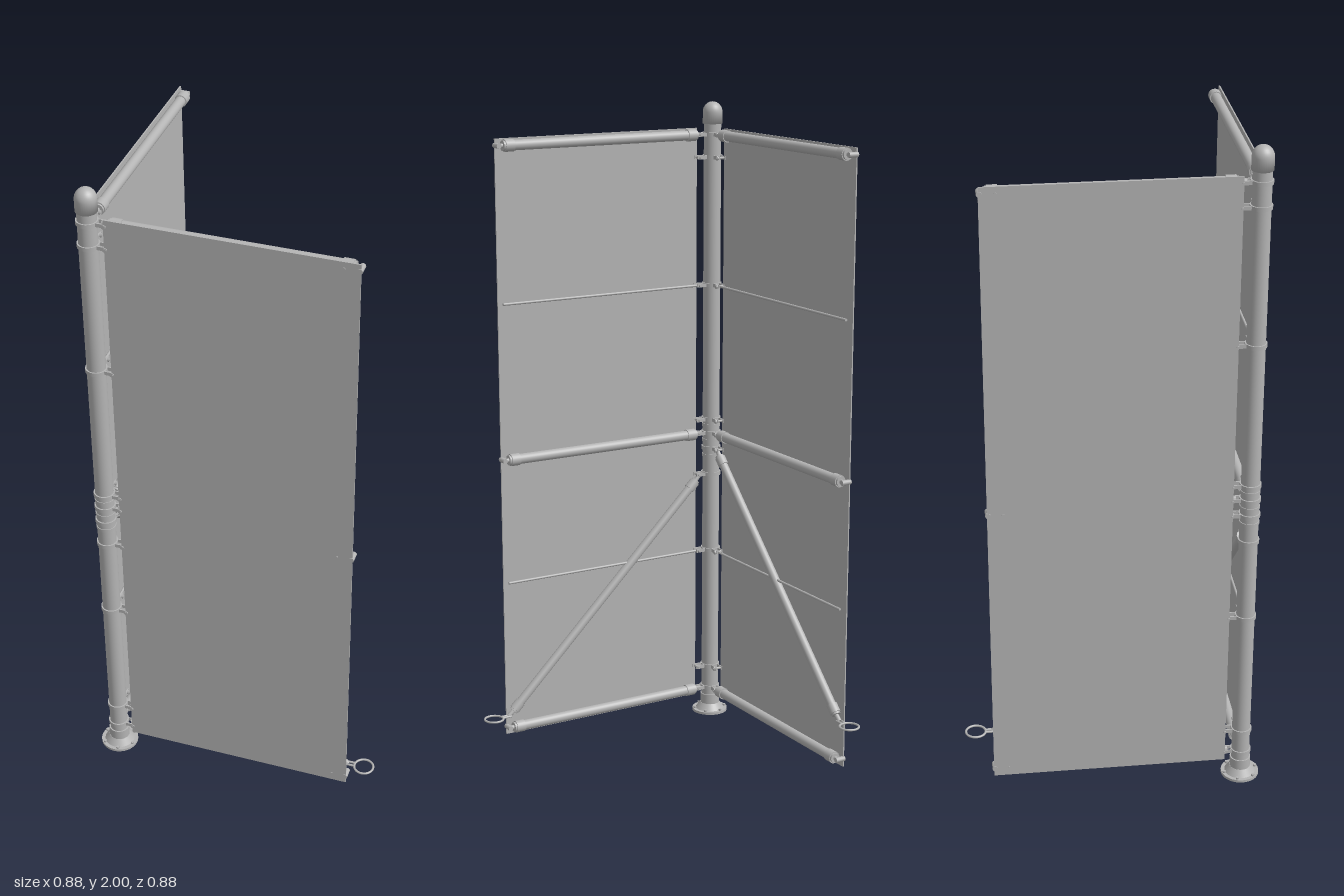
import * as THREE from 'three';

const steel = new THREE.MeshStandardMaterial({ color: 0xb4b4b4 });
steel.name = 'galvanised steel';

function add(parent, name, geometry, x = 0, y = 0, z = 0) {
  const mesh = new THREE.Mesh(geometry, steel);
  mesh.name = name;
  mesh.position.set(x, y, z);
  parent.add(mesh);
  return mesh;
}

// Straight round bar between two points
function bar(parent, name, a, b, r, sides = 20, r2 = r) {
  const from = new THREE.Vector3(...a), to = new THREE.Vector3(...b);
  const dir = to.clone().sub(from);
  const mesh = add(parent, name, new THREE.CylinderGeometry(r2, r, dir.length(), sides));
  mesh.position.copy(from).add(to).multiplyScalar(0.5);
  mesh.quaternion.setFromUnitVectors(new THREE.Vector3(0, 1, 0), dir.normalize());
  return mesh;
}

// Tube with a wider socket at each end
function socketTube(parent, name, a, b, r) {
  const from = new THREE.Vector3(...a), to = new THREE.Vector3(...b);
  const d = to.clone().sub(from).normalize();
  const along = (p, t) => p.clone().addScaledVector(d, t).toArray();
  bar(parent, name, a, b, r, 24);
  bar(parent, name + 'Socket', along(from, 0.006), along(from, 0.035), r + 0.003, 24);
  bar(parent, name + 'Socket', along(to, -0.035), along(to, -0.006), r + 0.003, 24);
}

// Split clamp around the post with two lugs and a bolt, pointing along +x
function clamp(parent, y) {
  add(parent, 'clampBand', new THREE.CylinderGeometry(0.031, 0.031, 0.012, 28), 0, y, 0);
  for (const z of [-0.011, 0.011])
    add(parent, 'clampLug', new THREE.BoxGeometry(0.036, 0.011, 0.004), 0.042, y, z);
  bar(parent, 'clampBolt', [0.052, y, -0.019], [0.052, y, 0.019], 0.004, 8);
  bar(parent, 'clampNut', [0.052, y, 0.013], [0.052, y, 0.018], 0.007, 6);
}

// One screen bay running along +x from the post; out is the side of the sheet
function bay(out, braceTop) {
  const g = new THREE.Group();
  const inner = -0.005 * out, face = 0.013 * out;

  add(g, 'sheet', new THREE.BoxGeometry(0.695, 1.86, 0.004), 0.3975, 0.99, face);

  // Rails with forked joints at the post and a pin at the free end
  for (const y of [1.9, 0.95, 0.085]) {
    socketTube(g, 'rail', [0.062, y, inner], [0.728, y, inner], 0.0155);
    clamp(g, y);
    bar(g, 'railTang', [0.04, y, inner], [0.07, y, inner], 0.007, 12);
    bar(g, 'railEndPin', [0.72, y, inner], [0.746, y, inner], 0.007, 12);
    bar(g, 'endBolt', [0.742, y, -0.014 * out], [0.742, y, 0.017 * out], 0.008, 12);
    bar(g, 'sheetScrew', [0.70, y, 0.01 * out], [0.70, y, 0.017 * out], 0.004, 8);
  }

  // Stiffening rods across the sheet
  for (const y of [1.43, 0.56])
    bar(g, 'stiffeningRod', [0.05, y, inner], [0.735, y, inner], 0.004, 10);
  for (const y of [1.83, 1.43, 0.995, 0.56, 0.16]) clamp(g, y);

  // Diagonal brace with its ground ring
  const foot = braceTop - 0.69;
  socketTube(g, 'diagonalBrace', [0.06, braceTop - 0.018, inner], [0.728, foot + 0.015, inner], 0.0135);
  clamp(g, braceTop);
  bar(g, 'braceTang', [0.045, braceTop, inner], [0.066, braceTop - 0.024, inner], 0.007, 12);
  bar(g, 'braceFoot', [0.72, foot + 0.022, inner], [0.745, foot, inner], 0.007, 12);
  const ring = add(g, 'groundRing', new THREE.TorusGeometry(0.029, 0.0035, 8, 36), 0.795, foot, inner);
  ring.rotation.x = Math.PI / 2;
  for (const z of [-0.006, 0.006])
    bar(g, 'ringShank', [0.738, foot, inner + z], [0.768, foot, inner + z], 0.0035, 8);
  return g;
}

function post() {
  const g = new THREE.Group();
  g.name = 'post';
  add(g, 'postTube', new THREE.CylinderGeometry(0.027, 0.027, 1.92, 32), 0, 0.98, 0);

  // Domed cap with a collar
  const cap = [[0.0305, 1.932], [0.0305, 1.968]];
  for (let i = 1; i <= 8; i++) {
    const t = (i / 8) * Math.PI / 2;
    cap.push([Math.max(0, 0.0305 * Math.cos(t)), 1.968 + 0.032 * Math.sin(t)]);
  }
  add(g, 'postCap', new THREE.LatheGeometry([[0, 1.932], ...cap].map(p => new THREE.Vector2(...p)), 32));

  // Couplers at the middle joint
  for (const [y, h] of [[0.975, 0.01], [0.925, 0.01], [0.875, 0.01]])
    add(g, 'couplerRing', new THREE.CylinderGeometry(0.029, 0.029, h, 32), 0, y, 0);

  // Flared foot
  add(g, 'footPlate', new THREE.CylinderGeometry(0.057, 0.057, 0.008, 36), 0, 0.004, 0);
  add(g, 'footFlare', new THREE.CylinderGeometry(0.032, 0.046, 0.02, 36), 0, 0.018, 0);
  add(g, 'footCollar', new THREE.CylinderGeometry(0.031, 0.031, 0.032, 32), 0, 0.044, 0);
  for (let i = 0; i < 6; i++) {
    const a = (i / 6) * Math.PI * 2 + 0.3;
    add(g, 'footBolt', new THREE.CylinderGeometry(0.005, 0.005, 0.006, 6),
      0.05 * Math.cos(a), 0.011, 0.05 * Math.sin(a));
  }
  return g;
}

export function createModel() {
  const model = new THREE.Group();
  model.name = 'cornerScreen';
  const corner = new THREE.Group();
  corner.name = 'corner';
  corner.position.set(-0.384, 0, 0.384);
  model.add(corner);

  corner.add(post());
  const front = bay(1, 0.815);
  front.name = 'frontBay';
  const side = bay(-1, 0.9);
  side.name = 'sideBay';
  side.rotation.y = Math.PI / 2;
  corner.add(front, side);
  return model;
}
